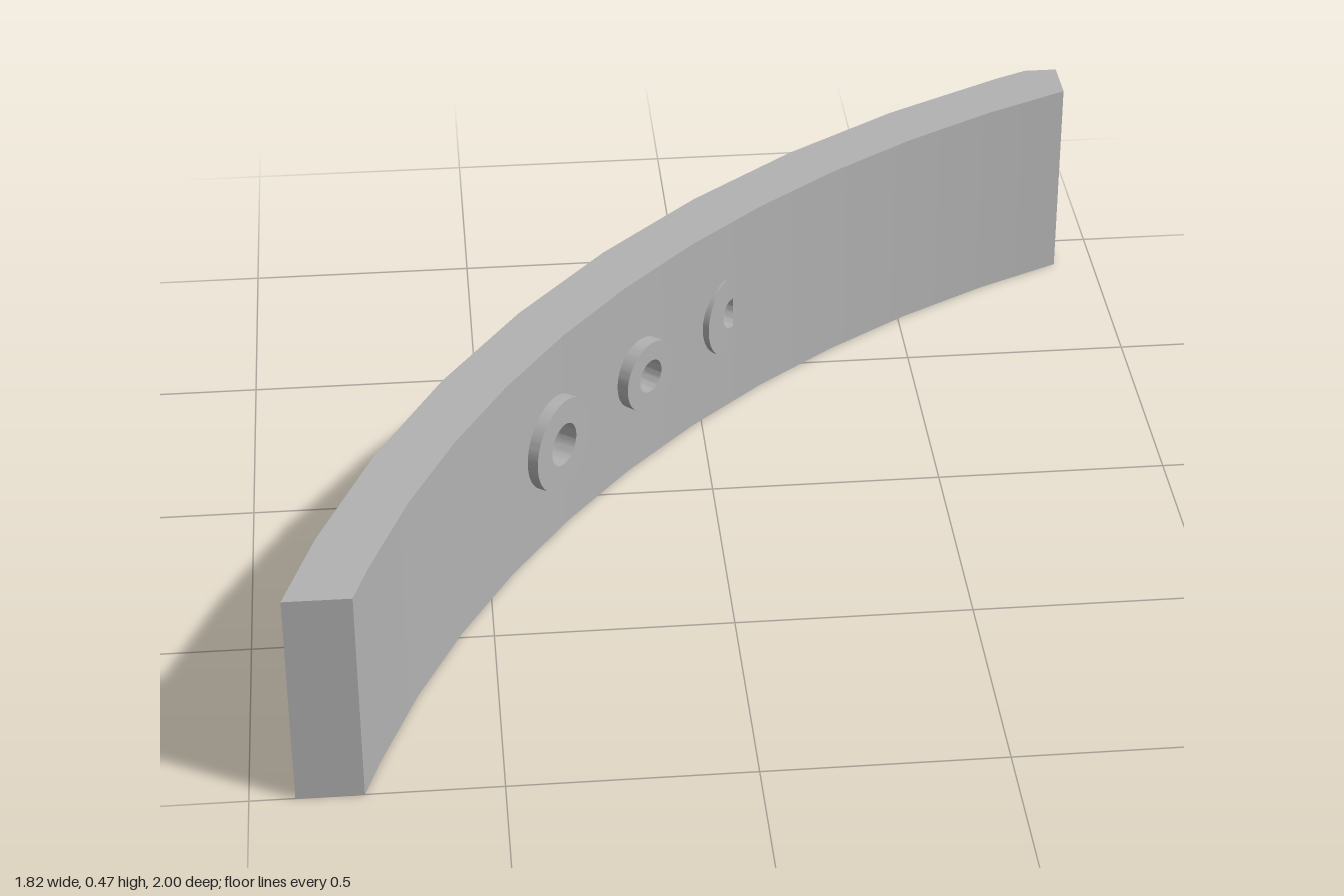
import * as THREE from 'three';
import { toCreasedNormals } from 'three/addons/utils/BufferGeometryUtils.js';

const CX = 2.096, CZ = 1.862;   // centre of the arc
const RI = 2.997, RO = 3.127;   // inner and outer radius
const H = 0.47, MID = H / 2;
const rad = THREE.MathUtils.degToRad;

// Point [x, z] on the arc at an angle in degrees
const onArc = (r, deg) => [CX - r * Math.cos(rad(deg)), CZ - r * Math.sin(rad(deg))];

// Angles of the facet corners
const steps = (first, from, step, count, last) =>
  [first, ...Array.from({ length: count }, (_, i) => from + i * step), last];
const innerAngles = steps(16.7, 18.6, 4.4, 11, 66.65);
const outerAngles = steps(16, 19.9, 5.6, 9, 66.2);

// Washers: place on the arc, facing, sizes and bore depth
const fittings = [
  { name: 'largeWasher', at: 35.2, face: 35.4, r: 2.968, outer: 0.105, bore: 0.048, thick: 0.04, deep: 0.085 },
  { name: 'smallWasher', at: 41.5, face: 42, r: 2.966, outer: 0.082, bore: 0.038, thick: 0.04, deep: 0.085 },
  { name: 'sunkenWasher', at: 47.65, face: 36.5, r: 2.998, outer: 0.1, bore: 0.037, thick: 0.03, deep: 0.132, half: true },
];

// Smooth normals that point to or from the arc centre
function radialNormals(geo, sign) {
  const p = geo.attributes.position, n = geo.attributes.normal;
  for (let i = 0; i < p.count; i++) {
    const dx = p.getX(i) - CX, dz = p.getZ(i) - CZ, l = Math.hypot(dx, dz);
    n.setXYZ(i, sign * dx / l, 0, sign * dz / l);
  }
  return geo;
}

// Upright strip of quads over a path of [x, z] points
function strip(path) {
  const v = [];
  for (let i = 0; i + 1 < path.length; i++) {
    const [ax, az] = path[i], [bx, bz] = path[i + 1];
    v.push(ax, 0, az, bx, 0, bz, bx, H, bz, ax, 0, az, bx, H, bz, ax, H, az);
  }
  const geo = new THREE.BufferGeometry();
  geo.setAttribute('position', new THREE.Float32BufferAttribute(v, 3));
  geo.computeVertexNormals();
  return geo;
}

// One inner facet, cut where a bore enters it
function innerPanel(a, b) {
  const m = (a + b) / 2, half = rad(b - a) / 2;
  const w = RI * Math.sin(half), d = RI * Math.cos(half);
  const shape = new THREE.Shape([[-w, 0], [w, 0], [w, H], [-w, H]].map(p => new THREE.Vector2(...p)));
  for (const f of fittings) {
    if (f.at < a || f.at > b) continue;
    const hole = new THREE.Path();
    const [s, e] = f.half ? [Math.PI / 2, Math.PI * 1.5] : [0, Math.PI * 2];
    hole.absarc(d * Math.tan(rad(f.at - m)), MID, f.bore, s, e, false);
    shape.holes.push(hole);
  }
  const [x, z] = onArc(d, m);
  const geo = new THREE.ShapeGeometry(shape, 24);
  geo.rotateY(Math.PI / 2 - rad(m)).translate(x, 0, z);
  return radialNormals(geo, -1);
}

export function createModel() {
  const model = new THREE.Group();
  const grey = new THREE.MeshStandardMaterial({ color: 0xb2b2b2, side: THREE.DoubleSide });
  grey.name = 'grey';
  const add = (parent, geo, name) => {
    const mesh = new THREE.Mesh(geo, grey);
    mesh.name = name;
    parent.add(mesh);
    return mesh;
  };

  // Curved wall
  const wall = new THREE.Group();
  wall.name = 'curvedWall';
  model.add(wall);
  const outer = outerAngles.map(a => onArc(RO, a));
  const inner = innerAngles.map(a => onArc(RI, a));
  const corner = [inner[inner.length - 1][0], outer[outer.length - 1][1]];

  add(wall, radialNormals(strip([...outer].reverse()), 1), 'outerFace');
  add(wall, strip([outer[0], inner[0]]), 'frontEnd');
  add(wall, strip([inner[inner.length - 1], corner, outer[outer.length - 1]]), 'backEnd');
  for (let i = 0; i + 1 < innerAngles.length; i++) {
    add(wall, innerPanel(innerAngles[i], innerAngles[i + 1]), 'innerFace');
  }

  // Top and bottom edges share the footprint
  const footprint = new THREE.Shape(
    [...outer, corner, ...[...inner].reverse()].map(([x, z]) => new THREE.Vector2(x, -z)));
  add(wall, new THREE.ShapeGeometry(footprint).rotateX(-Math.PI / 2).translate(0, H, 0), 'topEdge');
  const mirrored = new THREE.Shape(footprint.getPoints().map(p => new THREE.Vector2(p.x, -p.y)));
  add(wall, new THREE.ShapeGeometry(mirrored).rotateX(Math.PI / 2), 'bottomEdge');

  // Washers with their bores
  for (const f of fittings) {
    const g = new THREE.Group();
    g.name = f.name;
    const [x, z] = onArc(f.r, f.at);
    g.position.set(x, MID, z);
    g.rotation.y = Math.PI / 2 - rad(f.face);
    model.add(g);

    const ring = new THREE.Shape().absarc(0, 0, f.outer, 0, Math.PI * 2, false);
    ring.holes.push(new THREE.Path().absarc(0, 0, f.bore, 0, Math.PI * 2, true));
    const ringGeo = new THREE.ExtrudeGeometry(ring, { depth: f.thick, bevelEnabled: false, curveSegments: 32 });
    add(g, toCreasedNormals(ringGeo.translate(0, 0, -f.thick), 0.5), 'ring');

    const length = f.deep - f.thick;
    const tube = new THREE.CylinderGeometry(f.bore, f.bore, length, 32, 1, true);
    add(g, tube.rotateX(Math.PI / 2).translate(0, 0, -f.thick - length / 2), 'bore');
    add(g, new THREE.CircleGeometry(f.bore, 32).translate(0, 0, -f.deep), 'boreEnd');
  }
  return model;
}
